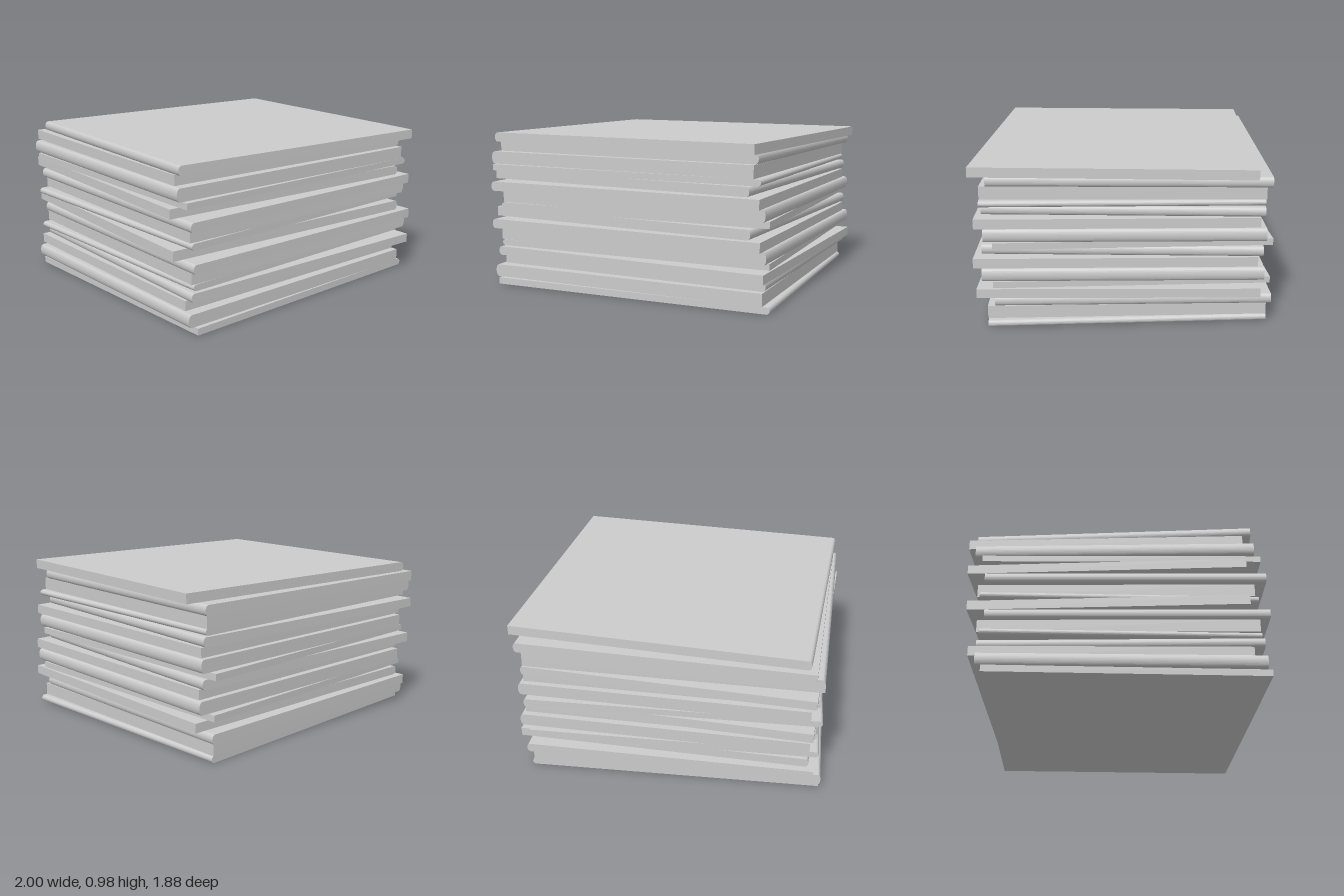
import * as THREE from 'three';

// One row per book, bottom to top:
// bottom, top, min x, max x, min z, max z, turn in degrees, spine side (1 = +x, -1 = -x)
const BOOKS = [
  [0.000, 0.042, -0.94, 0.935, -0.84, 0.88, 1.1, 1],
  [0.042, 0.120, -0.95, 0.89, -0.84, 0.85, 0, -1],
  [0.120, 0.181, -0.92, 0.92, -0.89, 0.805, -0.8, 1],
  [0.185, 0.242, -0.925, 0.975, -0.85, 0.91, -2.0, -1],
  [0.249, 0.288, -0.925, 0.92, -0.855, 0.835, 0.8, -1],
  [0.288, 0.368, -0.91, 0.965, -0.855, 0.875, -1.5, 1],
  [0.368, 0.428, -0.94, 0.935, -0.81, 0.925, -1.2, -1],
  [0.428, 0.489, -0.99, 0.935, -0.92, 0.88, -3.7, 1],
  [0.489, 0.530, -0.93, 0.915, -0.865, 0.83, 0.8, -1],
  [0.530, 0.610, -0.905, 0.955, -0.865, 0.86, -1.6, 1],
  [0.610, 0.670, -0.95, 0.925, -0.82, 0.915, -1.2, -1],
  [0.674, 0.732, -1.0, 0.93, -0.93, 0.875, -3.9, 1],
  [0.739, 0.778, -0.955, 0.915, -0.84, 0.88, -1.0, 1],
  [0.778, 0.857, -0.99, 0.91, -0.885, 0.88, -2.3, -1],
  [0.857, 0.920, -0.96, 0.945, -0.935, 0.84, -3.0, 1],
  [0.920, 0.980, -0.97, 1.0, -0.89, 0.94, -4.5, -1],
];
const BULGE = 0.02;

// Closed book lying flat, centred, with a rounded spine on +x
function bookGeometry(width, thickness, depth) {
  const w = width / 2, t = thickness / 2;
  const shape = new THREE.Shape();
  shape.moveTo(-w, -t);
  shape.lineTo(w - BULGE, -t);
  shape.absellipse(w - BULGE, 0, BULGE, t, -Math.PI / 2, Math.PI / 2, false);
  shape.lineTo(-w, t);
  shape.closePath();
  const geometry = new THREE.ExtrudeGeometry(shape, { depth, bevelEnabled: false, curveSegments: 8 });
  return geometry.translate(0, 0, -depth / 2);
}

export function createModel() {
  const model = new THREE.Group();
  model.name = 'bookStack';
  const material = new THREE.MeshStandardMaterial({ color: 0xcccccc });

  BOOKS.forEach(([y0, y1, x0, x1, z0, z1, degrees, side], i) => {
    // Recover the book's own width and depth from its turned outline
    const angle = THREE.MathUtils.degToRad(degrees);
    const c = Math.cos(angle), s = Math.abs(Math.sin(angle));
    const spanX = x1 - x0, spanZ = z1 - z0, k = c * c - s * s;
    const width = (spanX * c - spanZ * s) / k;
    const depth = (spanZ * c - spanX * s) / k;

    const book = new THREE.Mesh(bookGeometry(width, y1 - y0, depth), material);
    book.name = `book${i + 1}`;
    book.position.set((x0 + x1) / 2, (y0 + y1) / 2, (z0 + z1) / 2);
    book.rotation.y = angle + (side < 0 ? Math.PI : 0);
    model.add(book);
  });
  return model;
}
